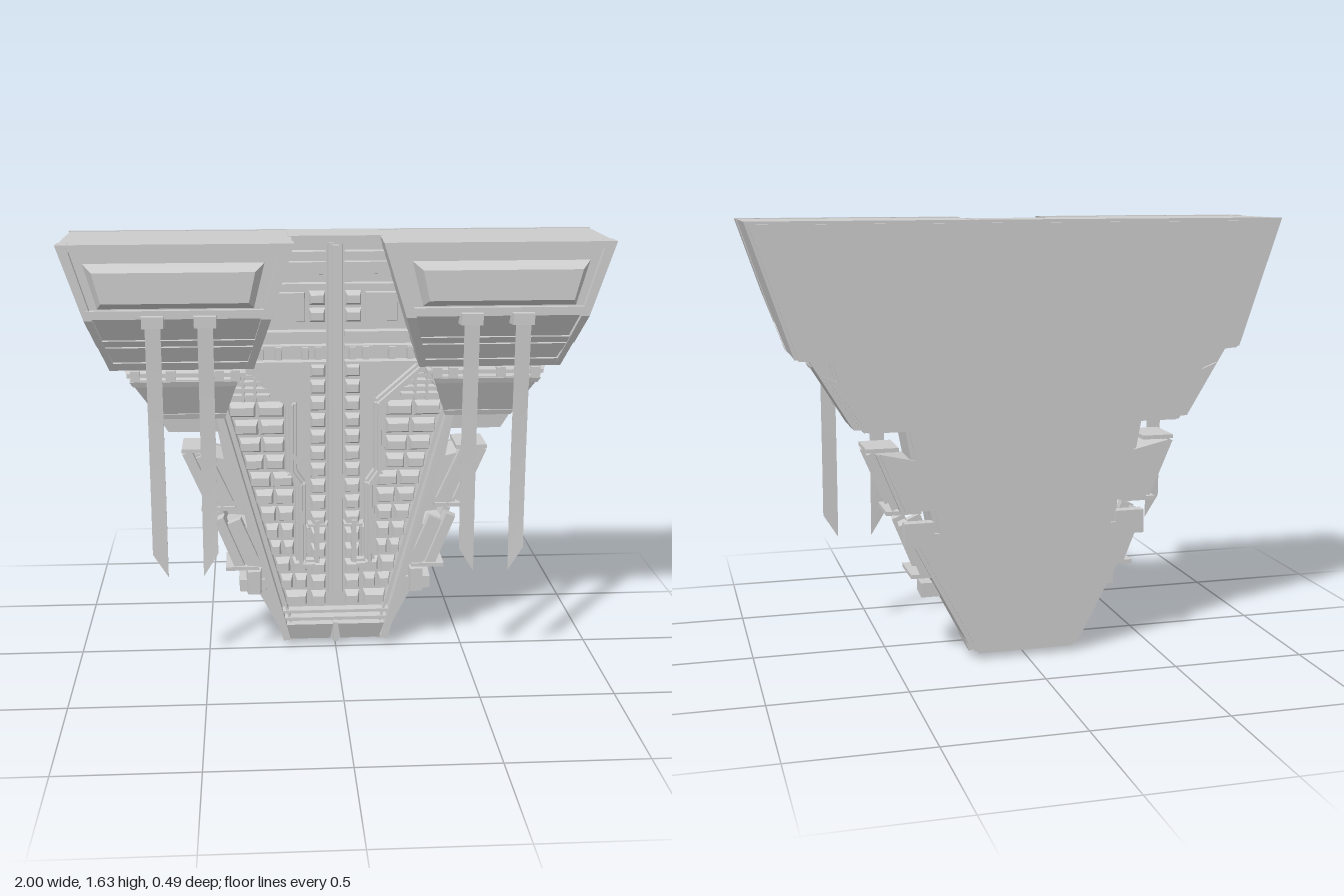
import * as THREE from 'three';
import { mergeGeometries } from 'three/addons/utils/BufferGeometryUtils.js';

const lerp = (a, b, t) => a + (b - a) * t;

// Applies a rule to every vertex
function warp(geo, rule) {
  const p = geo.attributes.position, v = new THREE.Vector3();
  for (let i = 0; i < p.count; i++) {
    v.fromBufferAttribute(p, i);
    rule(v);
    p.setXYZ(i, v.x, v.y, v.z);
  }
  return geo;
}

// Plain triangle soup, so pieces of one part can be merged
function soup(geo) {
  const g = geo.index ? geo.toNonIndexed() : geo.clone();
  g.deleteAttribute('uv');
  g.computeVertexNormals();
  return g;
}

// Mirror in x with the corner order put right
function mirrored(geo) {
  const g = soup(geo).scale(-1, 1, 1), a = g.attributes.position.array;
  for (let i = 0; i < a.length; i += 9) {
    for (let k = 0; k < 3; k++) [a[i + 3 + k], a[i + 6 + k]] = [a[i + 6 + k], a[i + 3 + k]];
  }
  g.computeVertexNormals();
  return g;
}

// Block whose front face is drawn in by bx, by
function tile(x0, x1, y0, y1, z0, z1, bx = 0.008, by = 0.012) {
  const cx = (x0 + x1) / 2, cy = (y0 + y1) / 2;
  return warp(new THREE.BoxGeometry(x1 - x0, y1 - y0, z1 - z0), v => {
    if (v.z > 0) { v.x -= Math.sign(v.x) * bx; v.y -= Math.sign(v.y) * by; }
    v.x += cx; v.y += cy; v.z += (z0 + z1) / 2;
  });
}

// Straight bar between two points of the front plane
function bar([xa, ya], [xb, yb], w, z0, z1, bevel = 0.006) {
  const len = Math.hypot(xb - xa, yb - ya);
  return tile(-w / 2, w / 2, -len / 2, len / 2, z0, z1, bevel, 0)
    .rotateZ(-Math.atan2(xb - xa, yb - ya))
    .translate((xa + xb) / 2, (ya + yb) / 2, 0);
}

// Side profile [z, y] stretched across between two slanting sides
function slab(profile, inner, outer, t0 = 0, t1 = 1) {
  const shape = new THREE.Shape(profile.map(p => new THREE.Vector2(...p)));
  const geo = new THREE.ExtrudeGeometry(shape, { depth: 1, bevelEnabled: false });
  return warp(geo, v => {
    const z = v.x;
    v.x = lerp(inner(v.y), outer(v.y), lerp(t1, t0, v.z));
    v.z = z;
  });
}

// Symmetric plate from the right half of its outline
function plate(half, z0, z1) {
  const pts = [...half, ...half.map(([x, y]) => [-x, y]).reverse()];
  const shape = new THREE.Shape(pts.map(p => new THREE.Vector2(...p)));
  return new THREE.ExtrudeGeometry(shape, { depth: z1 - z0, bevelEnabled: false }).translate(0, 0, z0);
}

export function createModel() {
  const parts = {};
  const add = (name, geo) => (parts[name] ??= []).push(soup(geo));
  const pair = (name, geo) => { add(name, geo); parts[name].push(mirrored(geo)); };

  // Hull with notched, stepped sides, and its back plate
  const steps = [[0.72, 1.14], [0.70, 1.07], [0.75, 1.09], [0.60, 0.88], [0.45, 0.88], [0.43, 0.77],
    [0.56, 0.80], [0.47, 0.58], [0.36, 0.58], [0.345, 0.49], [0.45, 0.50], [0.22, 0.06], [0.18, 0.02]];
  add('hull', plate([[0.30, 1.62], [0.34, 1.14], ...steps], -0.22, -0.045));
  const back = [[1.0, 1.63], [0.84, 1.15], ...steps];
  add('backPlate', plate(back, -0.228, -0.213));
  const inset = back.map(([x, y]) => [x - 0.014, lerp(y, 0.85, 0.014)]);
  add('backPlate', plate(inset, -0.238, -0.226));
  pair('backPlate', tile(0.35, 0.46, 0.45, 0.54, -0.243, -0.2, 0, 0));

  // Two large upper pods
  const inner = y => 0.16 + (1.63 - y) * 0.31, outer = y => 1 - (1.63 - y) * 0.333;
  const front = y => y > 1.36 ? 0.21 : y > 1.25 ? lerp(0.14, 0.21, (y - 1.25) / 0.11) : lerp(0.075, 0.135, (y - 1.15) / 0.1);
  const pod = d => [[-0.225, 1.15], [0.075 - d, 1.15], [0.135 - d, 1.25], [0.14 - d, 1.25],
    [0.21 - d, 1.36], [0.21 - d, 1.628], [-0.225, 1.628]];
  pair('pod', slab(pod(0.022), inner, outer, 0.005, 0.995));
  const frame = [[0.04, 1.15], [0.075, 1.15], [0.135, 1.25], [0.145, 1.25], [0.212, 1.36], [0.212, 1.63], [0.14, 1.63], [0.14, 1.25]];
  pair('podFrame', slab(frame, inner, outer, 0, 0.055));
  pair('podFrame', slab(frame, inner, outer, 0.955, 1));
  // Cross ridges of the pod front
  for (const [y0, y1, d] of [[1.605, 1.63, 0], [1.365, 1.395, 0.004], [1.255, 1.275, 0], [1.215, 1.245, 0], [1.15, 1.18, 0]]) {
    pair('podRidge', slab([[front(y0) - 0.04, y0], [front(y0) + d, y0], [front(y1) + d, y1], [front(y1) - 0.04, y1]], inner, outer, 0.03, 0.98));
  }
  // Raised panel with sloping ends
  pair('podPanel', warp(slab([[0.18, 1.395], [0.243, 1.425], [0.243, 1.535], [0.18, 1.565]], inner, outer, 0.1, 0.92),
    v => { if (v.z > 0.22) v.x = 0.58 + (v.x - 0.58) * 0.9; }));

  // Smaller shoulder blocks under the pods
  const inLow = y => 0.36 + (1.13 - y) * 0.33, outLow = y => 0.78 - (1.13 - y) * 0.6;
  pair('shoulder', slab([[-0.22, 0.89], [-0.01, 0.89], [-0.005, 0.95], [0.07, 1.10], [0.07, 1.11], [0.05, 1.15], [-0.22, 1.15]], inLow, outLow));
  pair('shoulderRidge', slab([[-0.01, 0.945], [0.005, 0.945], [0.012, 0.965], [-0.01, 0.965]], inLow, outLow, 0, 1.01));
  pair('shoulderRidge', slab([[0, 1.085], [0.072, 1.085], [0.08, 1.105], [0, 1.105]], inLow, outLow, 0, 1.01));
  pair('shoulderRail', tile(0.34, 0.78, 1.12, 1.135, -0.2, 0.07, 0, 0));
  for (const x of [0.36, 0.42, 0.6, 0.73]) pair('shoulderClip', tile(x, x + 0.035, 1.105, 1.145, -0.18, 0.078, 0, 0));

  // Hanging ribbons and their clips
  for (const [x, dir] of [[0.667, -1], [0.48, 1]]) {
    pair('ribbonClip', tile(x - 0.043, x + 0.043, 1.33, 1.38, 0.17, 0.235, 0.004, 0.004));
    const ribbon = new THREE.BoxGeometry(0.056, 1, 0.003, 1, 10, 1);
    pair('ribbon', warp(ribbon, v => {
      const t = 0.5 - v.y, low = 0.435 - dir * v.x / 0.028 * 0.045;
      v.y = lerp(1.36, low, t);
      v.x += x;
      v.z += 0.226 - 0.014 * Math.sin(Math.PI * t * 0.85);
    }));
  }

  // Edge rails of the front face
  const railX = y => 0.195 + (y - 0.04) * 0.27;
  pair('edgeRail', bar([railX(0.03), 0.03], [railX(1), 1], 0.045, -0.2, 0.0, 0.008));
  pair('edgeRail', bar([railX(0.1) - 0.034, 0.1], [railX(1) - 0.034, 1], 0.014, -0.05, -0.012, 0.003));
  pair('edgeRail', bar([railX(1), 0.99], [0.33, 1.14], 0.04, -0.1, 0.0, 0.008));

  // Stepped trim between the middle and side columns
  const trim = [[0.33, 1.13], [0.17, 0.99], [0.17, 0.72], [0.135, 0.67], [0.135, 0.34], [0.08, 0.34]];
  for (let i = 0; i < trim.length - 1; i++) {
    pair('innerTrim', bar(trim[i], trim[i + 1], 0.026, -0.05, -0.002));
    pair('innerTrim', bar(trim[i], trim[i + 1], 0.044, -0.05, -0.02, 0.003));
  }

  // Rows of side tiles, two to a row where there is room
  for (let y = 0.165; y < 1.0; y += 0.07) {
    const a = y > 0.67 ? 0.192 : y > 0.32 ? 0.158 : 0.107, b = railX(y + 0.03) - 0.035;
    const n = b - a > 0.1 ? 2 : 1;
    for (let i = 0; i < n; i++) {
      pair('sideTile', tile(lerp(a, b, i / n) + 0.003, lerp(a, b, (i + 1) / n) - 0.003, y, y + 0.062, -0.05, -0.004, 0.009, 0.016));
    }
  }
  for (let i = 0; i < 4; i++) pair('latticeBar', tile(0.25 + i * 0.012, 0.41 - i * 0.02, 1.015 + i * 0.026, 1.03 + i * 0.026, -0.05, -0.012, 0.002, 0.002));
  for (const x of [0.3, 0.345]) pair('latticeBar', tile(x, x + 0.012, 1.0, 1.1, -0.05, -0.008, 0.002, 0.002));

  // Central spine with tiles on both sides
  add('spine', tile(-0.032, 0.032, 0.22, 1.61, -0.06, -0.008, 0.006, 0.004));
  add('spine', tile(-0.016, 0.016, 0.22, 1.6, -0.03, 0.003, 0.004, 0.004));
  for (let y = 0.165; y < 1.1; y += 0.066) pair('centreTile', tile(0.036, 0.097, y, y + 0.059, -0.05, -0.006, 0.009, 0.015));
  for (const y of [1.3, 1.365]) pair('centreTile', tile(0.036, 0.1, y, y + 0.058, -0.05, -0.006, 0.009, 0.015));
  pair('spineBracket', tile(0.06, 0.085, 0.35, 0.53, -0.05, 0.003, 0.004, 0.004));
  pair('spineBracket', tile(0.03, 0.11, 0.5, 0.515, -0.05, 0.0, 0.003, 0.003));
  pair('spineBracket', tile(0.1, 0.115, 0.38, 0.5, -0.05, -0.005, 0.003, 0.003));

  // Ledges and cap between the pods
  add('topCap', tile(-0.175, 0.175, 1.6, 1.63, -0.22, -0.015, 0, 0));
  for (const [y, h, z] of [[1.555, 0.02, -0.02], [1.48, 0.055, -0.028], [1.44, 0.015, -0.02], [1.245, 0.03, -0.012],
    [1.195, 0.025, -0.02], [1.14, 0.02, -0.01]]) {
    pair('upperLedge', tile(0.035, inner(y) + 0.03, y, y + h, -0.06, z, 0, 0.005));
  }
  pair('upperPanel', tile(0.11, 0.24, 1.3, 1.42, -0.06, -0.032, 0.006, 0.006));
  for (const x of [0.05, 0.1, 0.2, 0.27]) pair('upperClip', tile(x, x + 0.03, 1.16, 1.215, -0.06, -0.006, 0.004, 0.004));

  // Foot with two blocks, bars and pegs
  pair('foot', warp(new THREE.BoxGeometry(0.17, 0.07, 0.2), v => {
    if (v.y > 0) v.x *= 1.12;
    else if (v.z > 0) v.z -= 0.025;
    v.x += 0.105; v.y += 0.057; v.z -= 0.105;
  }));
  for (const y of [0.105, 0.135]) add('footBar', tile(-railX(y) + 0.01, railX(y) - 0.01, y, y + 0.02, -0.06, -0.008, 0, 0.004));
  for (const x of [-0.18, 0, 0.18]) add('peg', tile(x - 0.012, x + 0.012, 0, 0.05, -0.115, -0.07, 0, 0));
  add('peg', tile(-0.012, 0.012, 0.02, 0.1, -0.15, 0.0, 0.003, 0));

  // Panels and boxes along the stepped sides
  for (const [a, b] of [[[0.57, 0.80], [0.48, 0.59]], [[0.455, 0.53], [0.375, 0.33]]]) {
    pair('sidePanel', bar(a, b, 0.05, -0.08, -0.03));
    pair('sidePanel', bar(a, b, 0.04, -0.2, -0.135));
    pair('sidePanel', bar([a[0] - 0.06, a[1] - 0.01], [b[0] - 0.06, b[1]], 0.06, -0.06, -0.03, 0.004));
  }
  pair('sidePanel', bar([0.28, 0.21], [0.235, 0.12], 0.025, -0.09, -0.05));
  pair('sideBox', tile(0.47, 0.59, 0.80, 0.815, -0.2, -0.03, 0, 0));
  pair('sideBox', tile(0.39, 0.52, 0.565, 0.58, -0.2, -0.03, 0, 0));
  pair('sideBox', tile(0.3, 0.43, 0.32, 0.335, -0.2, -0.02, 0, 0));
  pair('sideBox', tile(0.27, 0.38, 0.225, 0.28, -0.13, -0.03, 0.004, 0.004));
  pair('sideBox', tile(0.29, 0.35, 0.22, 0.325, -0.05, -0.002, 0.006, 0.006));

  const model = new THREE.Group();
  const material = new THREE.MeshStandardMaterial({ color: 0xcccccc, flatShading: true });
  for (const [name, geos] of Object.entries(parts)) {
    const mesh = new THREE.Mesh(mergeGeometries(geos), material);
    mesh.name = name;
    model.add(mesh);
  }
  return model;
}
